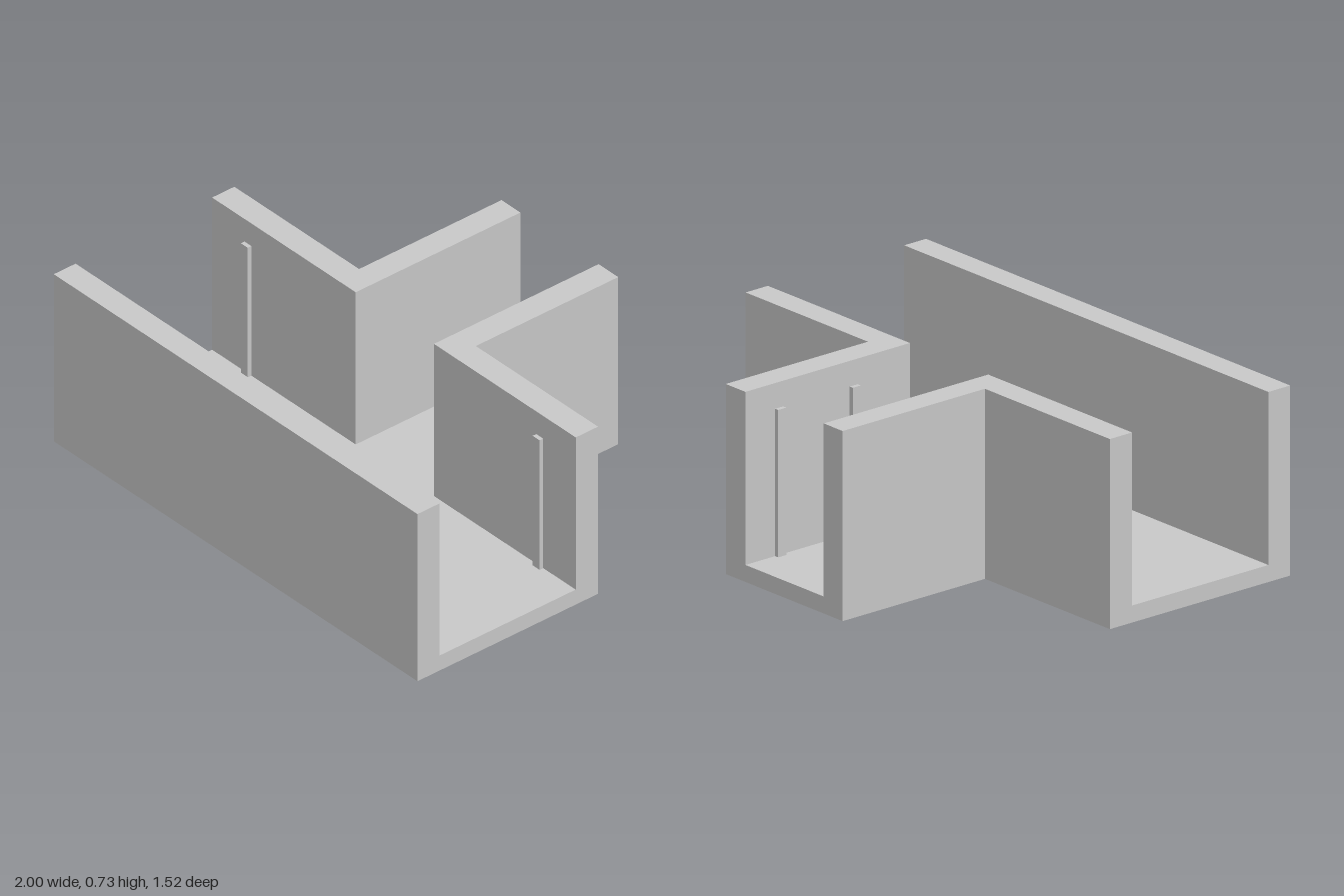
import * as THREE from 'three';

const FLOOR = 0.065, TOP = 0.725, RIB_TOP = 0.627;
const BACK = -0.761, FRONT = 0.761;      // overall depth
const WALL_OUT = -0.09, WALL_IN = 0.015; // rear walls of the crossbar

export function createModel() {
  const model = new THREE.Group();
  const lightGrey = new THREE.MeshStandardMaterial({ color: 0xc8c8c8 });
  lightGrey.name = 'lightGrey';

  // Extrudes a plan outline of [x, z] points between two heights
  function slab(name, points, y0, y1) {
    const shape = new THREE.Shape(points.map(([x, z]) => new THREE.Vector2(x, -z)));
    const geometry = new THREE.ExtrudeGeometry(shape, { depth: y1 - y0, bevelEnabled: false });
    geometry.rotateX(-Math.PI / 2).translate(0, y0, 0);
    const mesh = new THREE.Mesh(geometry, lightGrey);
    mesh.name = name;
    model.add(mesh);
  }
  const rect = (x0, x1, z0, z1) => [[x0, z1], [x1, z1], [x1, z0], [x0, z0]];

  // T-shaped floor
  slab('floor', [
    [-1, FRONT], [1, FRONT], [1, WALL_OUT], [0.328, WALL_OUT],
    [0.328, BACK], [-0.314, BACK], [-0.314, WALL_OUT], [-1, WALL_OUT],
  ], 0, FLOOR);

  // Straight wall along the front
  slab('frontWall', rect(-1, 1, 0.658, FRONT), FLOOR, TOP);

  // L-shaped corner walls on either side of the stem
  for (const [name, side, inner, outer] of [
    ['leftCornerWall', 1, 0.22, 0.328],
    ['rightCornerWall', -1, -0.21, -0.314],
  ]) {
    slab(name, [
      [side, WALL_IN], [side, WALL_OUT], [outer, WALL_OUT],
      [outer, BACK], [inner, BACK], [inner, WALL_IN],
    ], FLOOR, TOP);
  }

  // Slim upright ribs on the crossbar walls and inside the stem
  for (const x of [-0.803, 0.802]) {
    slab('crossbarRib', rect(x - 0.019, x + 0.019, WALL_IN, 0.032), FLOOR, RIB_TOP);
  }
  for (const z of [-0.602, -0.25]) {
    slab('stemRib', rect(0.203, 0.22, z - 0.019, z + 0.019), FLOOR, RIB_TOP);
  }
  return model;
}
